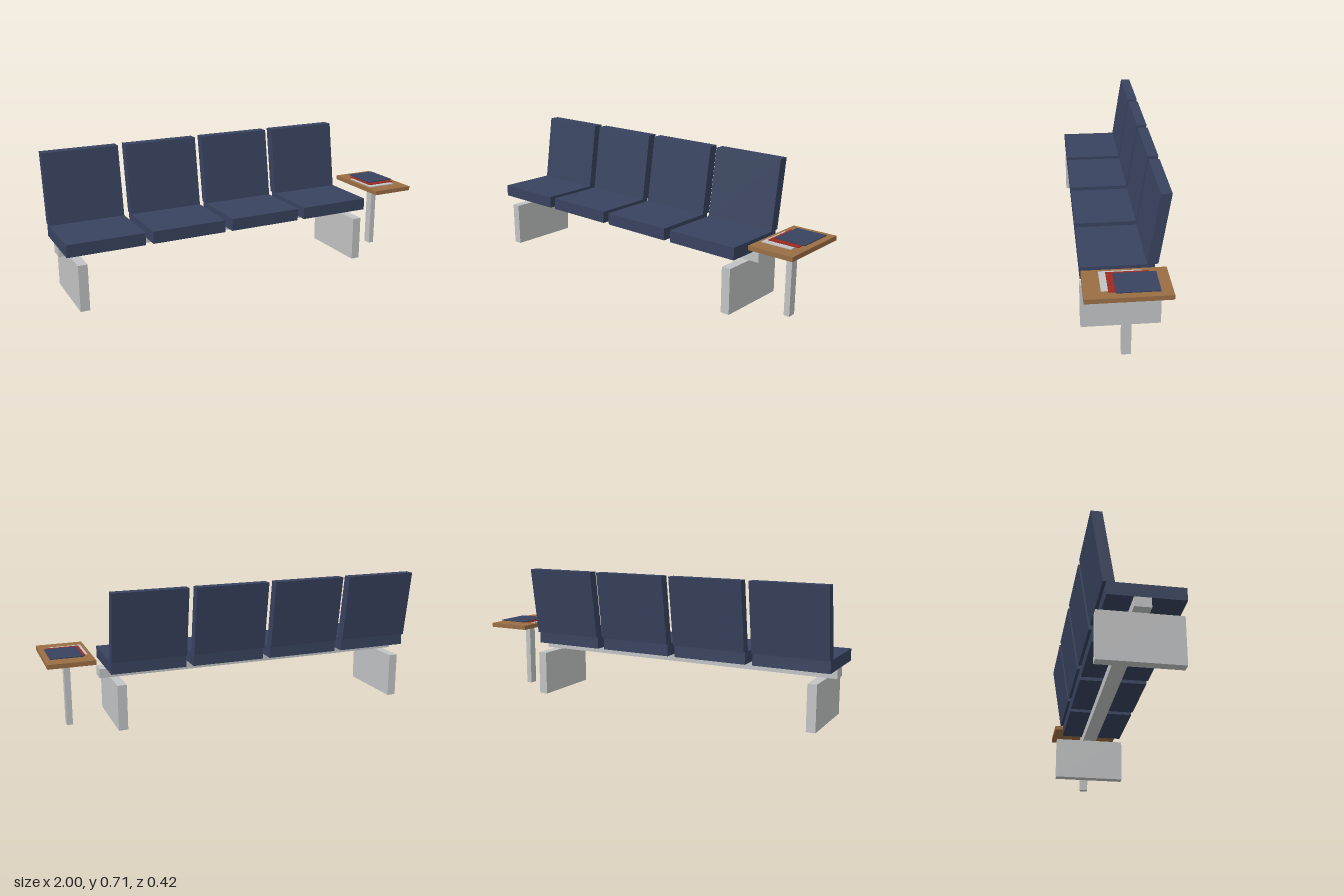
import * as THREE from 'three';

const paint = (name, color) => {
  const m = new THREE.MeshStandardMaterial({ color });
  m.name = name;
  return m;
};

export function createModel() {
  const navy = paint('navy upholstery', 0x38435f);
  const grey = paint('light grey', 0xc2c3c4);
  const wood = paint('wood', 0x9a6e44);
  const red = paint('red cover', 0x9e2a22);
  const group = new THREE.Group();

  // Box given by its extents on each axis
  const box = (name, material, [x0, x1], [y0, y1], [z0, z1], parent = group) => {
    const geometry = new THREE.BoxGeometry(x1 - x0, y1 - y0, z1 - z0);
    const mesh = new THREE.Mesh(geometry, material);
    mesh.position.set((x0 + x1) / 2, (y0 + y1) / 2, (z0 + z1) / 2);
    mesh.name = name;
    parent.add(mesh);
    return mesh;
  };

  // Row of four seats, each with a cushion and a backrest leaning back
  const width = 0.392;
  for (let i = 0; i < 4; i++) {
    const x = -1 + i * 0.431;
    const seat = new THREE.Group();
    seat.name = 'seat' + (i + 1);
    box('cushion', navy, [x, x + width], [0.284, 0.347], [-0.14, 0.213], seat);
    const back = box('backrest', navy, [x, x + width], [0.347, 0.707], [-0.155, -0.102], seat);
    const shear = new THREE.Matrix4().makeShear(0, 0, 0, -0.055 / 0.36, 0, 0);
    // Shear z by height so the top and bottom stay level
    shear.set(1, 0, 0, 0, 0, 1, 0, 0, 0, -0.055 / 0.36, 1, -0.0275, 0, 0, 0, 1);
    back.geometry.applyMatrix4(shear);
    group.add(seat);
  }

  // Beam on two panel legs
  box('beam', grey, [-1, 0.72], [0.236, 0.284], [-0.022, 0.056]);
  box('rightLeg', grey, [-0.95, -0.903], [0, 0.236], [-0.18, 0.213]);
  box('leftLeg', grey, [0.618, 0.666], [0, 0.236], [-0.18, 0.213]);

  // Side table on a single post
  box('tablePost', grey, [0.865, 0.896], [0, 0.355], [-0.006, 0.039]);
  box('tableTop', wood, [0.764, 1], [0.355, 0.378], [-0.18, 0.213]);

  // Staggered stack of magazines
  [grey, red, navy].forEach((material, i) => {
    const x = 0.784 + i * 0.0162;
    const y = 0.378 + i * 0.0043;
    const z = -0.062 - i * 0.031;
    box('magazine' + (i + 1), material, [x, x + 0.161], [y, y + 0.0043], [z, z + 0.197]);
  });

  return group;
}
